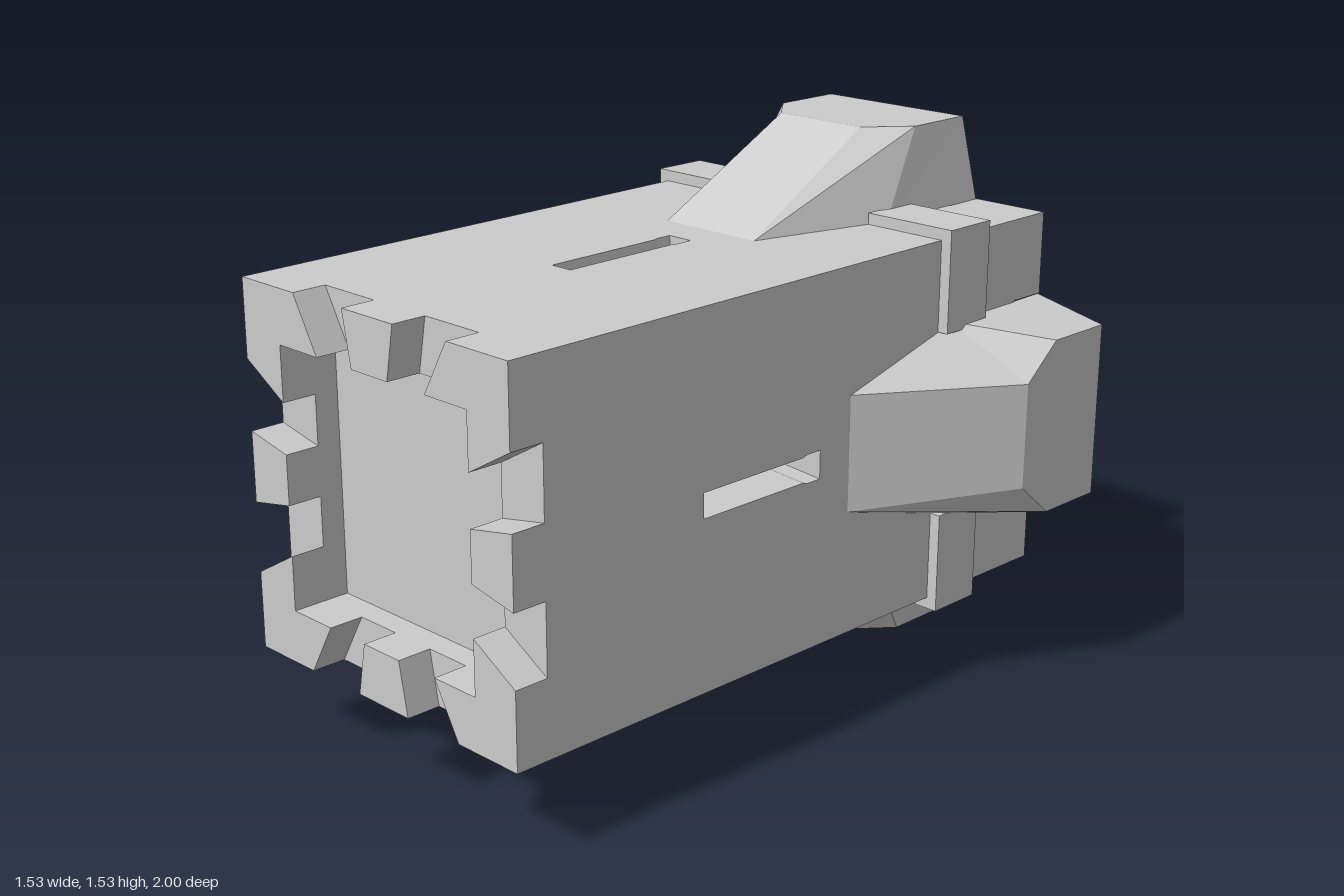
import * as THREE from 'three';

const INNER = 0.365, OUTER = 0.52, CENTRE_Y = 0.77;

// Half width of the body, widening slightly to the rear
const bodyHalf = (z) => 0.52 - 0.005 * z;

// One mitred side wall with front notches, a rear cut-out and a slot
function wallGeometry() {
  const outline = [
    [-0.52, -1], [-0.3, -1], [-0.3, -0.9], [-0.1, -0.9], [-0.1, -1],
    [0.1, -1], [0.1, -0.9], [0.3, -0.9], [0.3, -1], [0.52, -1],
    [0.52, 1], [0.285, 1], [0.285, 0.88], [-0.285, 0.88], [-0.285, 1], [-0.52, 1],
  ];
  const slot = [
    [-0.035, -0.37], [-0.035, 0], [-0.04, 0.015], [-0.04, 0.065],
    [0.04, 0.065], [0.04, 0.015], [0.035, 0], [0.035, -0.37],
  ];
  const toVec = ([x, y]) => new THREE.Vector2(x, y);
  const shape = new THREE.Shape(outline.map(toVec));
  shape.holes.push(new THREE.Path(slot.map(toVec)));
  const geo = new THREE.ExtrudeGeometry(shape, { depth: 1, bevelEnabled: false });
  geo.rotateX(-Math.PI / 2);
  const pos = geo.attributes.position;
  for (let i = 0; i < pos.count; i++) {
    const x = pos.getX(i), t = pos.getY(i), z = pos.getZ(i);
    const half = bodyHalf(z);
    const rearCut = z < -0.8 && Math.abs(x) < 0.3;
    const scale = t > 0.5 ? half / OUTER : rearCut ? 1 : INNER / OUTER;
    pos.setXYZ(i, x * scale, INNER + t * (half - INNER), z);
  }
  geo.computeVertexNormals();
  return geo;
}

// Thin sloped hood, open at the rear
function hoodGeometry() {
  const base = 0.52, top = 0.767;
  const b = [[0.165, base, -0.18], [0.282, base, -0.6], [0.285, base, -1]];
  const t = [[0.15, top, -0.63], [0.25, top, -0.75], [0.25, top, -0.965]];
  const m = ([x, y, z]) => [-x, y, z];
  const verts = [];
  const quad = (p, q, r, s) => verts.push(...p, ...q, ...r, ...p, ...r, ...s);
  quad(m(b[0]), b[0], t[0], m(t[0]));
  for (let i = 0; i < 2; i++) {
    quad(m(t[i]), t[i], t[i + 1], m(t[i + 1]));
    quad(b[i], b[i + 1], t[i + 1], t[i]);
    quad(m(b[i + 1]), m(b[i]), m(t[i]), m(t[i + 1]));
  }
  const geo = new THREE.BufferGeometry();
  geo.setAttribute('position', new THREE.Float32BufferAttribute(verts, 3));
  geo.computeVertexNormals();
  return geo;
}

export function createModel() {
  const model = new THREE.Group();
  model.name = 'squareEngineModule';
  const body = new THREE.Group();
  body.name = 'body';
  body.position.y = CENTRE_Y;
  model.add(body);

  const solid = new THREE.MeshStandardMaterial({ color: 0xcccccc, flatShading: true });
  const thin = new THREE.MeshStandardMaterial({
    color: 0xcccccc, flatShading: true, side: THREE.DoubleSide,
  });
  const add = (parent, name, geo, mat = solid) => {
    const mesh = new THREE.Mesh(geo, mat);
    mesh.name = name;
    parent.add(mesh);
    return mesh;
  };

  // Core whose ends form the recessed front and rear plates
  add(body, 'core', new THREE.BoxGeometry(0.732, 0.732, 1.63)).position.z = 0.015;

  // Four identical sides around the long axis
  const wall = wallGeometry(), hood = hoodGeometry();
  const band = new THREE.BoxGeometry(0.29, 0.055, 0.17);
  for (let i = 0; i < 4; i++) {
    const side = new THREE.Group();
    side.name = 'side' + (i + 1);
    side.rotation.z = i * Math.PI / 2;
    add(side, 'wall', wall);
    add(side, 'hood', hood, thin);
    // Corner clamp bands
    for (const s of [-1, 1]) {
      add(side, 'cornerBand', band).position.set(s * 0.41, 0.5275, -0.625);
    }
    body.add(side);
  }
  return model;
}
